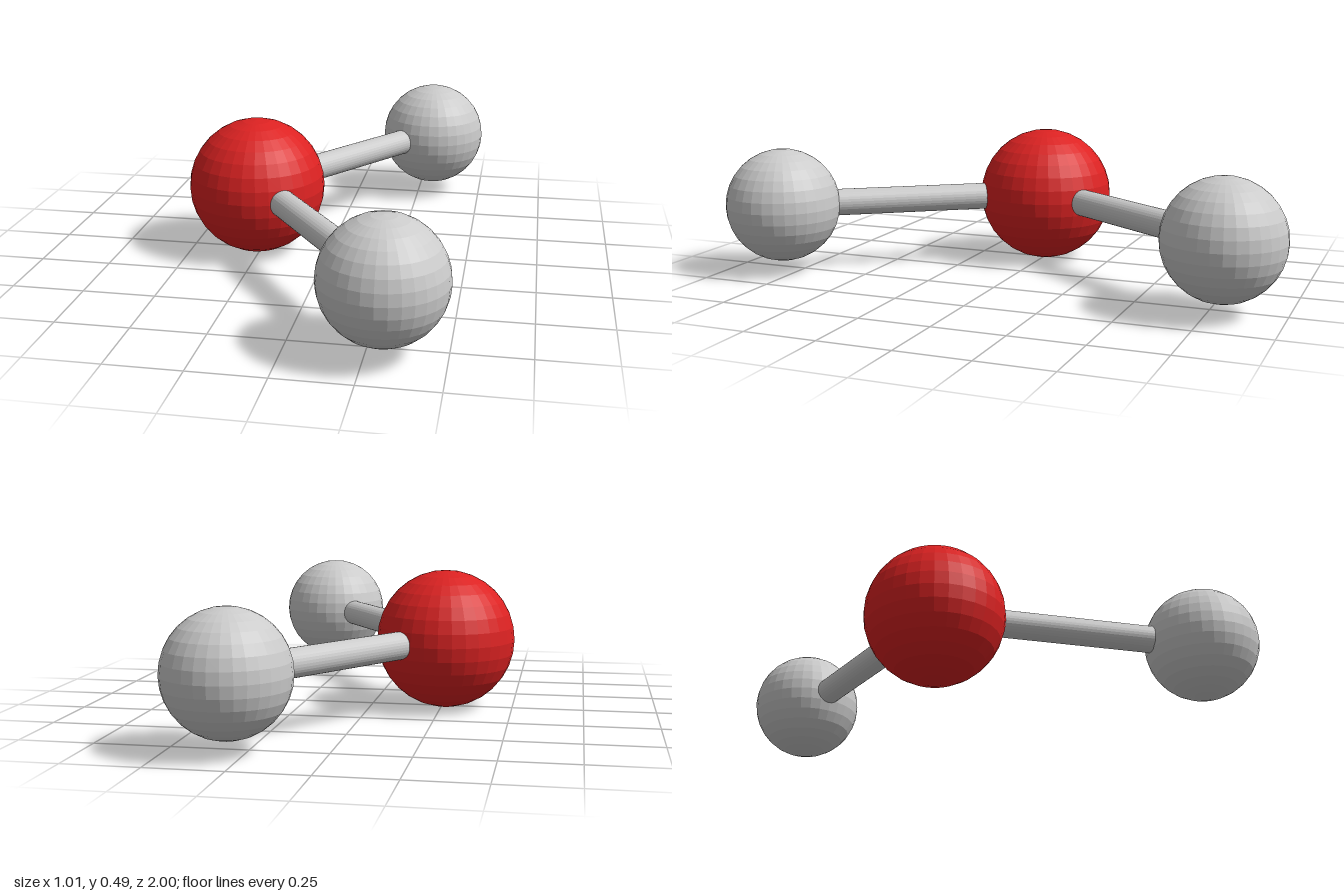
import * as THREE from 'three';

export function createModel() {
  const group = new THREE.Group();
  const grey = new THREE.MeshStandardMaterial({ color: 0xcccccc, flatShading: true });
  const red = new THREE.MeshStandardMaterial({ color: 0xdd2222, flatShading: true });

  const add = (name, geometry, material, position) => {
    const mesh = new THREE.Mesh(geometry, material);
    mesh.name = name;
    mesh.position.copy(position);
    group.add(mesh);
    return mesh;
  };

  // Large central atom
  const centre = new THREE.Vector3(-0.262, 0.244, 0);
  add('centralAtom', new THREE.SphereGeometry(0.243, 32, 16), red, centre);

  // Two small atoms, each joined to the centre by a rod
  const smallSphere = new THREE.SphereGeometry(0.202, 32, 16);
  for (const [side, label] of [[1, 'front'], [-1, 'back']]) {
    const end = new THREE.Vector3(0.302, 0.244, side * 0.798);
    add(label + 'Atom', smallSphere, grey, end);

    const span = end.clone().sub(centre);
    const rod = add(
      label + 'Bond',
      new THREE.CylinderGeometry(0.048, 0.048, span.length(), 32),
      grey,
      centre.clone().add(end).multiplyScalar(0.5)
    );
    rod.quaternion.setFromUnitVectors(new THREE.Vector3(0, 1, 0), span.normalize());
  }

  return group;
}
